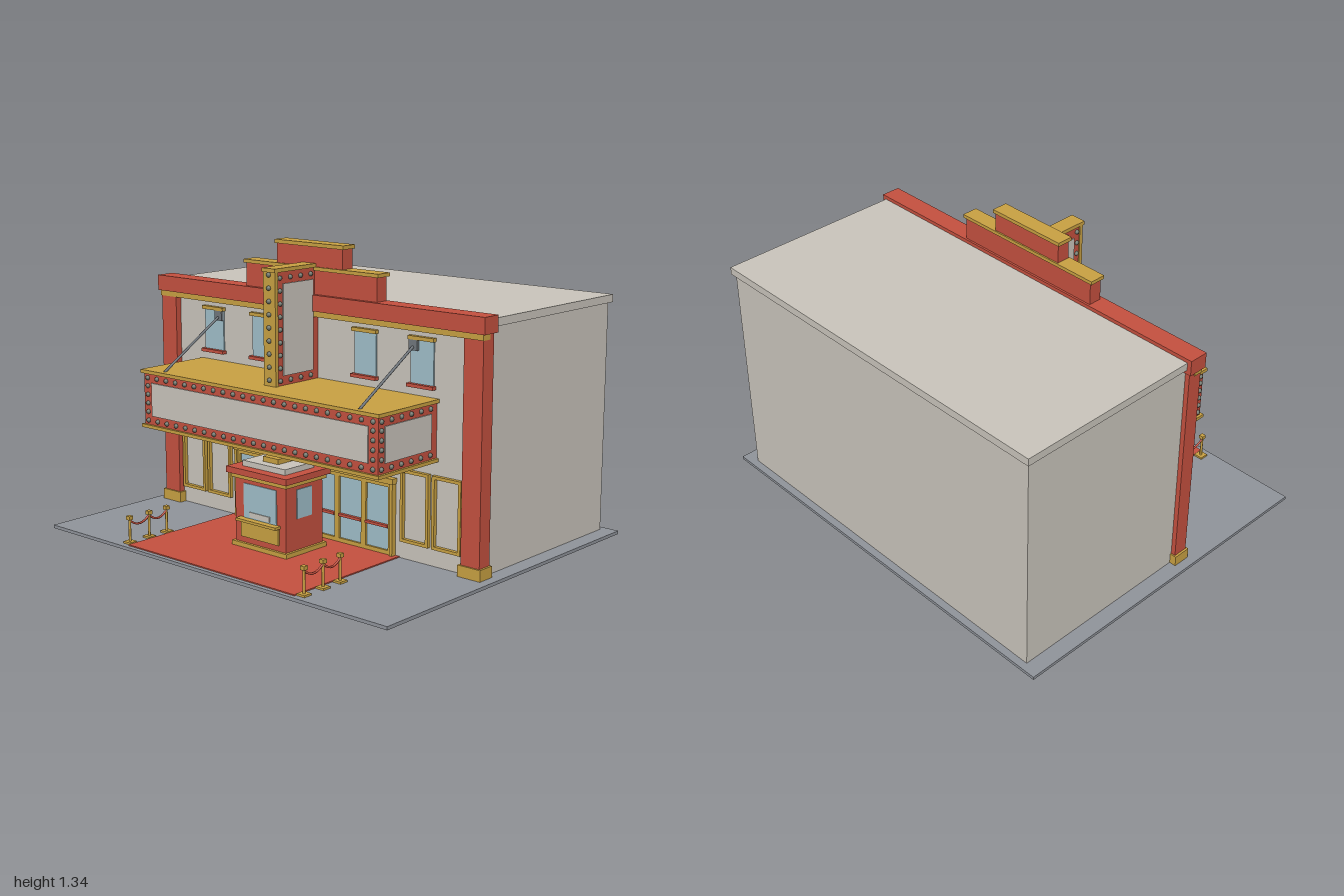
import * as THREE from 'three';

const mat = (name, color) => Object.assign(new THREE.MeshStandardMaterial({ color }), { name });

export function createModel() {
  const red = mat('red', 0xc4503f), gold = mat('gold', 0xc8a042), stone = mat('stone', 0xc9c4bb);
  const glass = mat('glass', 0x9fbec9), paving = mat('paving', 0x8f939a), steel = mat('steel', 0x70767c);
  const bulbMat = mat('bulb', 0x737a70);
  const root = new THREE.Group();
  root.name = 'theatre';

  const group = (name, parent = root) => {
    const g = new THREE.Group();
    g.name = name;
    parent.add(g);
    return g;
  };
  // Box given by its limits on each axis
  const box = (name, m, x0, x1, y0, y1, z0, z1, parent = root) => {
    const mesh = new THREE.Mesh(new THREE.BoxGeometry(x1 - x0, y1 - y0, z1 - z0), m);
    mesh.position.set((x0 + x1) / 2, (y0 + y1) / 2, (z0 + z1) / 2);
    mesh.name = name;
    parent.add(mesh);
    return mesh;
  };
  // Box centred on x
  const slab = (name, m, w, y0, y1, z0, z1, parent) => box(name, m, -w, w, y0, y1, z0, z1, parent);
  // Same box on both sides
  const pair = (name, m, x0, x1, ...rest) => {
    box(name, m, x0, x1, ...rest);
    box(name, m, -x1, -x0, ...rest);
  };
  const rod = (name, m, a, b, r, parent = root) => {
    const dir = b.clone().sub(a);
    const mesh = new THREE.Mesh(new THREE.CylinderGeometry(r, r, dir.length(), 8), m);
    mesh.position.copy(a).add(b).multiplyScalar(0.5);
    mesh.quaternion.setFromUnitVectors(new THREE.Vector3(0, 1, 0), dir.normalize());
    mesh.name = name;
    parent.add(mesh);
  };
  const V = (x, y, z) => new THREE.Vector3(x, y, z);
  const bulbGeo = new THREE.SphereGeometry(0.011, 8, 6);
  // Evenly spaced bulbs from a to b
  const bulbRow = (parent, a, b, n) => {
    for (let i = 0; i < n; i++) {
      const mesh = new THREE.Mesh(bulbGeo, bulbMat);
      mesh.position.lerpVectors(a, b, n > 1 ? i / (n - 1) : 0);
      mesh.name = 'bulb';
      parent.add(mesh);
    }
  };

  // Ground, carpet, hall and roof
  slab('pavement', paving, 1, 0, 0.015, -0.825, 0.825);
  slab('carpet', red, 0.5, 0.015, 0.02, 0.14, 0.805);
  slab('hall', stone, 0.925, 0.015, 1.065, -0.79, 0.1);
  slab('roof', stone, 0.94, 1.065, 1.1, -0.805, 0.1);
  slab('facade', stone, 0.93, 0.015, 1.05, 0.1, 0.14);

  // Pilasters, cornice and stepped parapet
  pair('pilaster', red, 0.85, 0.947, 0.015, 1.045, 0.1, 0.17);
  pair('pilasterBase', gold, 0.84, 0.957, 0.015, 0.065, 0.094, 0.178);
  slab('corniceTrim', gold, 0.95, 1.02, 1.045, 0.13, 0.175);
  slab('cornice', red, 0.96, 1.045, 1.117, 0.09, 0.182);
  slab('lowerParapet', red, 0.385, 1.117, 1.222, 0.1, 0.163);
  slab('lowerParapetCap', gold, 0.397, 1.222, 1.238, 0.093, 0.17);
  slab('upperParapet', red, 0.193, 1.238, 1.325, 0.1, 0.163);
  slab('upperParapetCap', gold, 0.202, 1.325, 1.342, 0.093, 0.17);

  // Upper windows
  for (const x of [-0.617, -0.307, 0.307, 0.617]) {
    const g = group('window');
    g.position.x = x;
    slab('pane', glass, 0.061, 0.79, 0.985, 0.139, 0.146, g);
    slab('lintel', gold, 0.068, 0.98, 0.996, 0.139, 0.16, g);
    slab('sill', red, 0.07, 0.779, 0.794, 0.139, 0.165, g);
  }

  // Poster cases
  for (const s of [-1, 1]) for (const x of [0.59, 0.761]) {
    const g = group('posterCase');
    g.position.x = s * x;
    for (const e of [-0.069, 0.069]) box('frameSide', gold, e - 0.007, e + 0.007, 0.094, 0.415, 0.139, 0.158, g);
    for (const y of [0.094, 0.401]) slab('frameRail', gold, 0.062, y, y + 0.014, 0.139, 0.158, g);
  }

  // Entrance: six glazed doors in a gold surround
  slab('doorHeader', gold, 0.482, 0.34, 0.365, 0.139, 0.17);
  pair('doorJamb', gold, 0.462, 0.478, 0.015, 0.34, 0.139, 0.165);
  for (let i = 0; i < 6; i++) {
    const g = group('door');
    g.position.x = (i - 2.5) * 0.154;
    slab('doorGlass', glass, 0.072, 0.03, 0.335, 0.139, 0.146, g);
    for (const e of [-0.07, 0.07]) box('doorStile', gold, e - 0.007, e + 0.007, 0.02, 0.34, 0.139, 0.156, g);
    slab('doorTopRail', gold, 0.064, 0.322, 0.34, 0.139, 0.156, g);
    slab('doorBottomRail', gold, 0.064, 0.02, 0.038, 0.139, 0.156, g);
    slab('pushBar', red, 0.064, 0.14, 0.152, 0.146, 0.162, g);
  }

  // Marquee canopy
  const marquee = group('marquee');
  slab('canopyTop', gold, 0.706, 0.727, 0.743, 0.14, 0.53, marquee);
  slab('canopyBox', red, 0.694, 0.49, 0.727, 0.14, 0.518, marquee);
  slab('canopyBottom', gold, 0.706, 0.475, 0.49, 0.14, 0.53, marquee);
  slab('frontBoard', stone, 0.643, 0.532, 0.685, 0.517, 0.523, marquee);
  for (const s of [-1, 1]) {
    const x = s * 0.695;
    box('sideBoard', stone, x - 0.004, x + 0.004, 0.532, 0.685, 0.18, 0.48, marquee);
    for (const y of [0.51, 0.707]) bulbRow(marquee, V(x, y, 0.185), V(x, y, 0.5), 6);
    bulbRow(marquee, V(x, 0.55, 0.5), V(x, 0.67, 0.5), 4);
    bulbRow(marquee, V(s * 0.668, 0.55, 0.52), V(s * 0.668, 0.67, 0.52), 4);
  }
  for (const y of [0.51, 0.707]) bulbRow(marquee, V(-0.668, y, 0.52), V(0.668, y, 0.52), 23);
  for (const z of [0.27, 0.44]) bulbRow(marquee, V(-0.615, 0.467, z), V(0.615, 0.467, z), 12);

  // Canopy tie rods
  for (const s of [-1, 1]) {
    const x = s * 0.578;
    rod('tieRod', steel, V(x, 0.74, 0.5), V(x, 0.95, 0.16), 0.006);
    box('tiePlate', steel, x - 0.022, x + 0.022, 0.935, 0.98, 0.145, 0.16);
  }

  // Vertical blade sign
  const blade = group('bladeSign');
  slab('bladeBody', red, 0.03, 0.743, 1.236, 0.14, 0.4, blade);
  slab('bladeFront', gold, 0.035, 0.743, 1.236, 0.398, 0.416, blade);
  slab('bladeCap', gold, 0.038, 1.236, 1.253, 0.14, 0.422, blade);
  bulbRow(blade, V(0, 0.77, 0.419), V(0, 1.225, 0.419), 9);
  for (const s of [-1, 1]) {
    const x = s * 0.031;
    box('bladePanel', stone, x - 0.004, x + 0.004, 0.785, 1.185, 0.175, 0.365, blade);
    for (const y of [0.764, 1.21]) bulbRow(blade, V(x, y, 0.19), V(x, y, 0.383), 4);
    bulbRow(blade, V(x, 0.82, 0.383), V(x, 1.155, 0.383), 7);
  }

  // Ticket booth
  const booth = group('ticketBooth');
  slab('boothBase', gold, 0.165, 0.02, 0.04, 0.237, 0.495, booth);
  slab('boothBody', red, 0.152, 0.04, 0.33, 0.25, 0.482, booth);
  slab('boothTrim', gold, 0.165, 0.33, 0.348, 0.237, 0.495, booth);
  slab('boothRoof', red, 0.18, 0.35, 0.378, 0.228, 0.51, booth);
  slab('boothRoofSoffit', red, 0.165, 0.348, 0.35, 0.237, 0.495, booth);
  slab('boothRoofStep', stone, 0.128, 0.378, 0.403, 0.277, 0.461, booth);
  slab('boothFinial', gold, 0.046, 0.403, 0.426, 0.323, 0.417, booth);
  slab('boothFrontWindow', glass, 0.098, 0.155, 0.31, 0.481, 0.486, booth);
  slab('ticketSlot', stone, 0.06, 0.162, 0.185, 0.484, 0.49, booth);
  slab('counter', gold, 0.12, 0.143, 0.155, 0.48, 0.517, booth);
  slab('counterPanel', gold, 0.112, 0.067, 0.137, 0.48, 0.49, booth);
  for (const s of [-1, 1]) {
    const x = s * 0.152;
    box('boothSideWindow', glass, x - 0.004, x + 0.004, 0.18, 0.31, 0.32, 0.415, booth);
  }

  // Rope barriers
  const postZ = [0.555, 0.66, 0.774];
  for (const s of [-1, 1]) {
    const g = group('ropeBarrier');
    g.position.x = s * 0.525;
    for (const z of postZ) {
      slab('postBase', gold, 0.021, 0.015, 0.024, z - 0.021, z + 0.021, g);
      rod('post', gold, V(0, 0.02, z), V(0, 0.125, z), 0.006, g);
      slab('postCap', gold, 0.011, 0.123, 0.14, z - 0.011, z + 0.011, g);
    }
    for (let i = 0; i < 2; i++) {
      const a = V(0, 0.12, postZ[i]), b = V(0, 0.12, postZ[i + 1]);
      const curve = new THREE.QuadraticBezierCurve3(a, V(0, 0.068, (a.z + b.z) / 2), b);
      const rope = new THREE.Mesh(new THREE.TubeGeometry(curve, 12, 0.005, 6), red);
      rope.name = 'rope';
      g.add(rope);
    }
  }
  return root;
}
